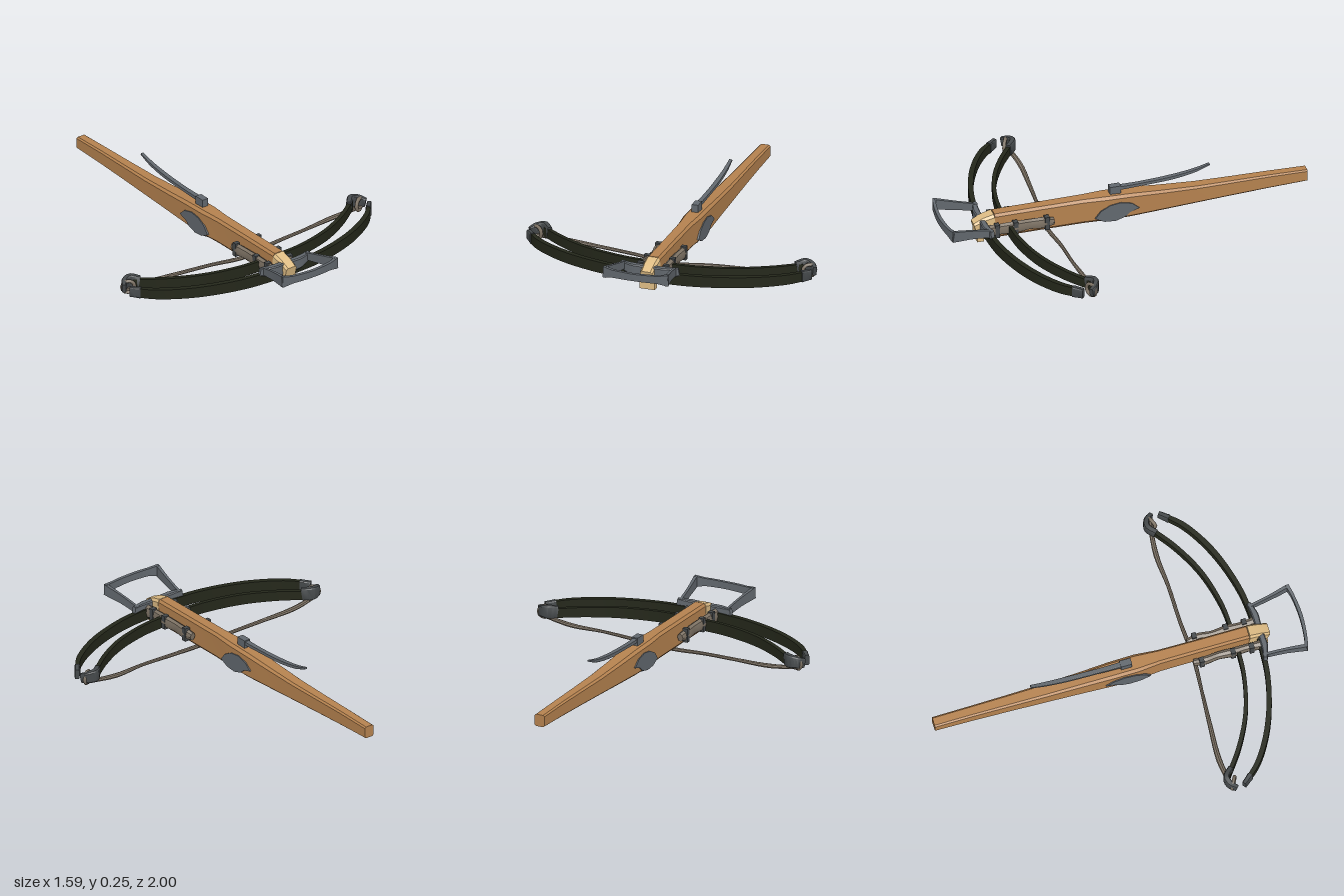
import * as THREE from 'three';
import { toCreasedNormals } from 'three/addons/utils/BufferGeometryUtils.js';

const mat = (name, color, extra = {}) => {
  const m = new THREE.MeshStandardMaterial({ color, ...extra });
  m.name = name;
  return m;
};

// unit cross-sections, counter-clockwise
const CHAMFER = [[1, -0.8], [1, 0.8], [0.7, 1], [-0.7, 1], [-1, 0.8], [-1, -0.8], [-0.7, -1], [0.7, -1]];
const BOX = [[1, -1], [1, 1], [-1, 1], [-1, -1]];
const ROUND = Array.from({ length: 8 }, (_, i) => [Math.cos(i * Math.PI / 4), Math.sin(i * Math.PI / 4)]);

// Loft a section along a smooth path; each station is [x, y, z, halfWidth, halfHeight]
function loft(stations, section, steps = 24, crease = 0.6, smooth = true) {
  const pts = stations.map(s => new THREE.Vector3(s[0], s[1], s[2]));
  const path = new THREE.CatmullRomCurve3(pts, false, 'centripetal');
  const count = smooth ? steps : stations.length - 1;
  const n = section.length, pos = [], idx = [];
  for (let i = 0; i <= count; i++) {
    const u = i / count, f = u * (stations.length - 1);
    const k = Math.min(Math.floor(f), stations.length - 2), r = f - k;
    const w = THREE.MathUtils.lerp(stations[k][3], stations[k + 1][3], r);
    const h = THREE.MathUtils.lerp(stations[k][4], stations[k + 1][4], r);
    const p = path.getPoint(u), t = path.getTangent(u);
    const side = new THREE.Vector3(t.z, 0, -t.x).normalize();
    const up = new THREE.Vector3().crossVectors(t, side).normalize();
    for (const [a, b] of section) {
      const v = p.clone().addScaledVector(side, a * w).addScaledVector(up, b * h);
      pos.push(v.x, v.y, v.z);
    }
  }
  for (let i = 0; i < count; i++) for (let j = 0; j < n; j++) {
    const a = i * n + j, b = i * n + (j + 1) % n;
    idx.push(a, b, b + n, a, b + n, a + n);
  }
  const e = count * n;
  for (let j = 1; j < n - 1; j++) idx.push(0, j + 1, j, e, e + j, e + j + 1);
  const g = new THREE.BufferGeometry();
  g.setAttribute('position', new THREE.Float32BufferAttribute(pos, 3));
  g.setIndex(idx);
  return toCreasedNormals(g, crease);
}

export function createModel() {
  const wood = mat('wood', 0xb5824f);
  const horn = mat('pale horn', 0xdfbd85);
  const limb = mat('dark limb', 0x24271a);
  const steel = mat('steel', 0x62686e);
  const darkSteel = mat('dark steel', 0x45494b);
  const cord = mat('cord', 0x7d7264);

  const model = new THREE.Group();
  model.name = 'crossbow';
  const add = (name, geo, material, x = 0, y = 0, z = 0) => {
    const m = new THREE.Mesh(geo, material);
    m.name = name;
    m.position.set(x, y, z);
    model.add(m);
    return m;
  };

  // wooden stock, butt to fore end
  add('stock', loft([
    [0, 0.098, -1, 0.029, 0.033], [0, 0.098, -0.8, 0.03, 0.039], [0, 0.096, -0.6, 0.033, 0.044],
    [0, 0.094, -0.4, 0.037, 0.05], [0, 0.096, -0.2, 0.042, 0.06], [0, 0.1, -0.04, 0.048, 0.069],
    [0, 0.103, 0.1, 0.049, 0.071], [0, 0.103, 0.22, 0.038, 0.071], [0, 0.103, 0.45, 0.036, 0.071],
    [0, 0.103, 0.7, 0.036, 0.071]], CHAMFER, 24, 0.6, false), wood);

  // pale nose block and the narrow strip under the fore end
  add('nose', loft([[0, 0.102, 0.695, 0.038, 0.072], [0, 0.095, 0.75, 0.036, 0.064],
    [0, 0.082, 0.8, 0.033, 0.052]], CHAMFER, 24, 0.6, false), horn);
  add('noseLip', new THREE.BoxGeometry(0.085, 0.045, 0.035), horn, 0, 0.052, 0.78);

  // lever on top with its pivot
  add('lever', loft([[0, 0.197, 0.06, 0.014, 0.012], [0, 0.199, -0.1, 0.012, 0.01],
    [0, 0.209, -0.28, 0.012, 0.011], [0, 0.228, -0.4, 0.01, 0.009],
    [0, 0.251, -0.475, 0.008, 0.005]], CHAMFER, 16), steel);
  add('leverPivot', new THREE.BoxGeometry(0.036, 0.045, 0.06), steel, 0, 0.192, 0.04);

  // lock plates on both flanks, and the lock foot underneath
  const plate = new THREE.Shape([[0.16, 0.06], [0.13, 0.1], [0.08, 0.127], [0.02, 0.135], [-0.04, 0.12],
    [-0.08, 0.085], [-0.03, 0.07], [0.0, 0.045], [0.05, 0.03], [0.11, 0.035]].map(p => new THREE.Vector2(...p)));
  const plateGeo = new THREE.ExtrudeGeometry(plate, { depth: 0.016, bevelEnabled: false });
  plateGeo.translate(0, 0, -0.008).rotateY(-Math.PI / 2);
  for (const s of [1, -1]) add('lockPlate', plateGeo, steel, s * 0.046);
  add('lockFoot', loft([[0, 0.03, 0.02, 0.02, 0.012], [0, 0.024, 0.08, 0.028, 0.018],
    [0, 0.03, 0.13, 0.02, 0.012]], ROUND, 8), steel);

  for (const s of [1, -1]) {
    // two curved limbs on each side
    add('outerLimb', loft([[0, 0.088, 0.755, 0.012, 0.031], [s * 0.25, 0.088, 0.735, 0.013, 0.03],
      [s * 0.5, 0.088, 0.66, 0.014, 0.029], [s * 0.68, 0.088, 0.555, 0.013, 0.027],
      [s * 0.77, 0.088, 0.46, 0.01, 0.025]], BOX, 24), limb);
    add('innerLimb', loft([[s * 0.05, 0.088, 0.63, 0.01, 0.03], [s * 0.2, 0.088, 0.62, 0.01, 0.03],
      [s * 0.4, 0.088, 0.57, 0.011, 0.029], [s * 0.57, 0.088, 0.485, 0.011, 0.027],
      [s * 0.71, 0.088, 0.385, 0.011, 0.025]], BOX, 24), limb);

    // limb caps and string nocks
    add('outerCap', loft([[s * 0.74, 0.088, 0.495, 0.015, 0.03], [s * 0.778, 0.088, 0.45, 0.012, 0.027]],
      CHAMFER, 2), darkSteel);
    add('innerCap', loft([[s * 0.68, 0.092, 0.405, 0.014, 0.034], [s * 0.72, 0.1, 0.37, 0.016, 0.035],
      [s * 0.76, 0.095, 0.38, 0.015, 0.03], [s * 0.785, 0.088, 0.41, 0.011, 0.024]], CHAMFER, 10), darkSteel);
    const loop = add('stringLoop', new THREE.TorusGeometry(0.033, 0.01, 6, 12), cord, s * 0.75, 0.085, 0.4);
    loop.rotation.y = s * 0.5;

    // cord lashings beside the fore end, tied with raised wraps
    add('lashing', loft([[s * 0.058, 0.095, 0.39, 0.018, 0.022], [s * 0.066, 0.1, 0.45, 0.022, 0.034],
      [s * 0.06, 0.1, 0.52, 0.02, 0.03], [s * 0.064, 0.1, 0.6, 0.023, 0.036],
      [s * 0.062, 0.1, 0.68, 0.02, 0.032], [s * 0.066, 0.1, 0.75, 0.024, 0.036]], ROUND, 24), cord);
    for (const z of [0.43, 0.6, 0.7])
      add('lashingWrap', new THREE.BoxGeometry(0.03, 0.075, 0.025), darkSteel, s * 0.07, 0.1, z);

    // steel bracket that carries the stirrup
    add('bracket', loft([[s * 0.03, 0.115, 0.765, 0.016, 0.034], [s * 0.09, 0.12, 0.765, 0.018, 0.03],
      [s * 0.16, 0.132, 0.75, 0.01, 0.02]], CHAMFER, 8), steel);

    // stirrup arm
    add('stirrupArm', loft([[s * 0.138, 0.13, 0.745, 0.007, 0.02], [s * 0.152, 0.152, 0.86, 0.007, 0.024],
      [s * 0.172, 0.17, 0.97, 0.009, 0.03]], BOX, 8), steel);
  }

  // stirrup tread
  add('stirrupTread', loft([[-0.176, 0.17, 0.965, 0.009, 0.031], [-0.12, 0.172, 0.978, 0.008, 0.021],
    [0, 0.172, 0.988, 0.009, 0.019], [0.12, 0.172, 0.978, 0.008, 0.021],
    [0.176, 0.17, 0.965, 0.009, 0.031]], BOX, 16), steel);

  // slack string running under the stock
  add('string', loft([[-0.77, 0.065, 0.39, 0.012, 0.01], [-0.6, 0.05, 0.368, 0.015, 0.012],
    [-0.4, 0.042, 0.378, 0.012, 0.009], [-0.2, 0.033, 0.392, 0.009, 0.01], [0, 0.018, 0.405, 0.012, 0.011],
    [0.2, 0.032, 0.393, 0.01, 0.01], [0.4, 0.042, 0.39, 0.01, 0.008], [0.58, 0.046, 0.378, 0.014, 0.012],
    [0.77, 0.065, 0.395, 0.011, 0.01]], ROUND, 40), cord);

  return model;
}
